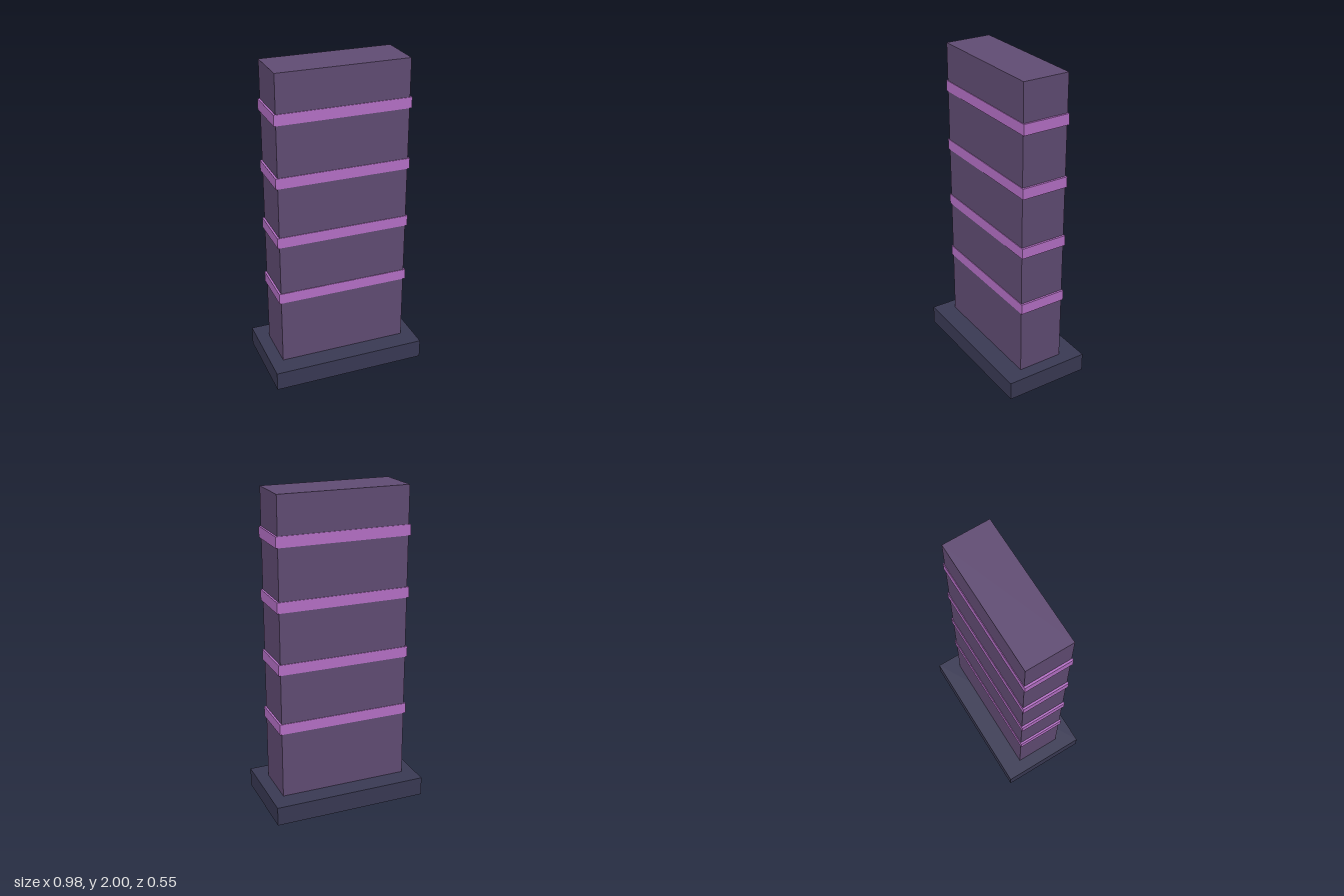
import * as THREE from 'three';

export function createModel() {
  const model = new THREE.Group();
  const paint = (name, color) => {
    const material = new THREE.MeshStandardMaterial({ color });
    material.name = name;
    return material;
  };
  const slate = paint('slate', 0x3a3a55);
  const plum = paint('plum', 0x624d75);
  const orchid = paint('orchid', 0xb872ca);

  // Box centred on the y axis, standing on the given height
  const block = (name, width, height, depth, bottom, material) => {
    const mesh = new THREE.Mesh(new THREE.BoxGeometry(width, height, depth), material);
    mesh.name = name;
    mesh.position.y = bottom + height / 2;
    model.add(mesh);
  };

  // Plinth and tower
  block('base', 0.983, 0.12, 0.545, 0, slate);
  block('tower', 0.82, 1.88, 0.294, 0.12, plum);

  // Evenly spaced bands wrapping the tower
  for (let i = 0; i < 4; i++) {
    block(`band${i + 1}`, 0.845, 0.067, 0.302, 0.543 + i * 0.385, orchid);
  }
  return model;
}
